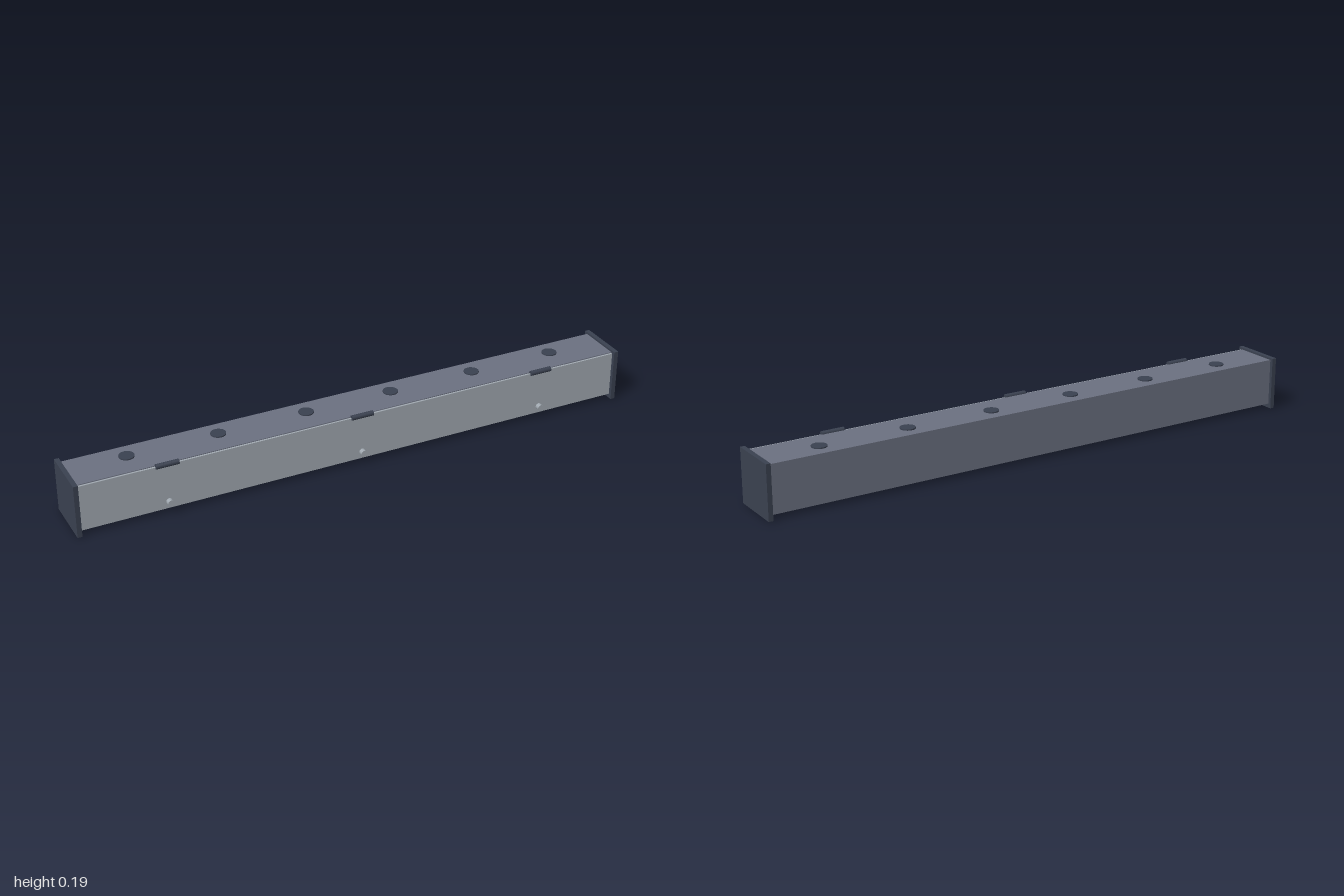
import * as THREE from 'three';

const material = (name, color) => {
  const m = new THREE.MeshStandardMaterial({ color });
  m.name = name;
  return m;
};

export function createModel() {
  const model = new THREE.Group();
  model.name = 'enclosure';
  const bodyGrey = material('body grey', 0x6b7080);
  const panelGrey = material('panel grey', 0xa0a8b0);
  const darkSlate = material('dark slate', 0x3a4150);

  const add = (name, geometry, mat, x, y, z) => {
    const mesh = new THREE.Mesh(geometry, mat);
    mesh.name = name;
    mesh.position.set(x, y, z);
    model.add(mesh);
    return mesh;
  };
  // Box given by its limits in y and z
  const box = (name, mat, x, width, y0, y1, z0, z1) =>
    add(name, new THREE.BoxGeometry(width, y1 - y0, z1 - z0), mat, x, (y0 + y1) / 2, (z0 + z1) / 2);

  // Long trunk and its hinged front cover
  box('trunk', bodyGrey, 0, 1.97, 0.015, 0.18, -0.084, 0.072);
  box('frontCover', panelGrey, 0, 1.964, 0.017, 0.178, 0.073, 0.08);

  // Square end plates
  for (const side of [-1, 1]) {
    box('endPlate', darkSlate, side * 0.992, 0.016, 0, 0.187, -0.096, 0.09);
  }

  // Round knockouts along the top
  for (let i = 0; i < 6; i++) {
    add('knockout', new THREE.CylinderGeometry(0.026, 0.026, 0.006, 24), darkSlate, (i - 2.5) * 0.314, 0.181, -0.022);
  }

  // Hinges of three knuckles on the top edge, and a screw below each
  for (const x of [-0.687, 0, 0.687]) {
    for (const k of [-1, 0, 1]) {
      add('hingeKnuckle', new THREE.CylinderGeometry(0.009, 0.009, 0.0255, 16), darkSlate, x + k * 0.0265, 0.1795, 0.079)
        .rotation.z = Math.PI / 2;
    }
    add('hingePin', new THREE.CylinderGeometry(0.006, 0.006, 0.078, 12), darkSlate, x, 0.1795, 0.079)
      .rotation.z = Math.PI / 2;
    add('coverScrew', new THREE.CylinderGeometry(0.011, 0.011, 0.017, 20), panelGrey, x, 0.042, 0.088)
      .rotation.x = Math.PI / 2;
  }
  return model;
}
